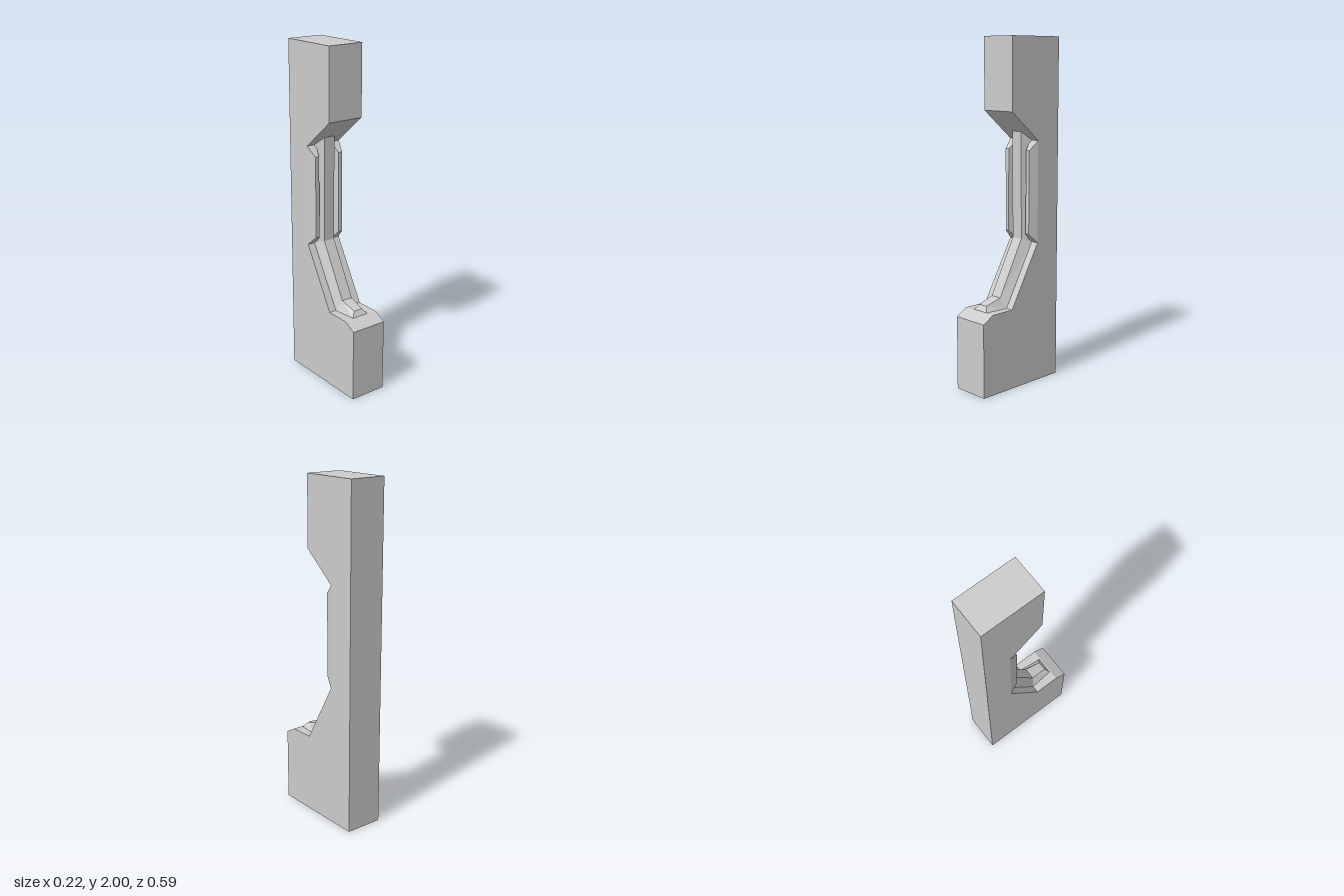
import * as THREE from 'three';

const material = new THREE.MeshStandardMaterial({ color: 0xcccccc, flatShading: true });
const WIDTH = 0.224;

function addMesh(group, geometry, name) {
  const mesh = new THREE.Mesh(geometry, material);
  mesh.name = name;
  group.add(mesh);
  return mesh;
}

// Side profile (z, y) extruded across the width
function bodyGeometry() {
  const profile = [
    [-0.295, 0], [0.295, 0], [0.295, 0.43], [0.225, 0.47], [0.075, 0.47],
    [-0.13, 0.83], [-0.13, 1.42], [0.075, 1.59], [0.075, 2], [-0.295, 2],
  ].map(([z, y]) => new THREE.Vector2(z, y));
  return new THREE.ExtrudeGeometry(new THREE.Shape(profile), { depth: WIDTH, bevelEnabled: false })
    .translate(0, 0, -WIDTH / 2)
    .rotateY(-Math.PI / 2);
}

// Trapezoid cross-sections following the recess, from top to foot
function ribGeometry() {
  // base half width, y, z; front half width, y, z
  const sections = [
    [0.065, 1.42, -0.13, 0.035, 1.47, -0.07],
    [0.066, 0.83, -0.13, 0.035, 0.85, -0.075],
    [0.067, 0.47, 0.075, 0.035, 0.53, 0.095],
    [0.053, 0.47, 0.217, 0.028, 0.5, 0.197],
  ].map(([b, by, bz, f, fy, fz]) => [[b, by, bz], [f, fy, fz], [-f, fy, fz], [-b, by, bz]]);
  const positions = [];
  const quad = (a, b, c, d) => positions.push(...a, ...b, ...c, ...a, ...c, ...d);
  for (let i = 0; i < sections.length - 1; i++) {
    const p = sections[i], q = sections[i + 1];
    for (let k = 0; k < 3; k++) quad(p[k], p[k + 1], q[k + 1], q[k]);
  }
  quad(...sections[sections.length - 1]);
  const geometry = new THREE.BufferGeometry();
  geometry.setAttribute('position', new THREE.Float32BufferAttribute(positions, 3));
  geometry.computeVertexNormals();
  return geometry;
}

// Box whose front face is drawn in on all four sides
function railGeometry() {
  const geometry = new THREE.BoxGeometry(0.06, 0.59, 0.055);
  const pos = geometry.attributes.position;
  for (let i = 0; i < pos.count; i++) {
    if (pos.getZ(i) > 0) {
      pos.setX(i, Math.sign(pos.getX(i)) * 0.0125);
      pos.setY(i, Math.sign(pos.getY(i)) * 0.24);
    }
  }
  geometry.computeVertexNormals();
  return geometry;
}

export function createModel() {
  const group = new THREE.Group();
  group.name = 'pillar';
  addMesh(group, bodyGeometry(), 'body');
  addMesh(group, ribGeometry(), 'centreRib');
  for (const [name, side] of [['leftRail', 1], ['rightRail', -1]]) {
    addMesh(group, railGeometry(), name).position.set(side * 0.082, 1.125, -0.1025);
  }
  return group;
}
